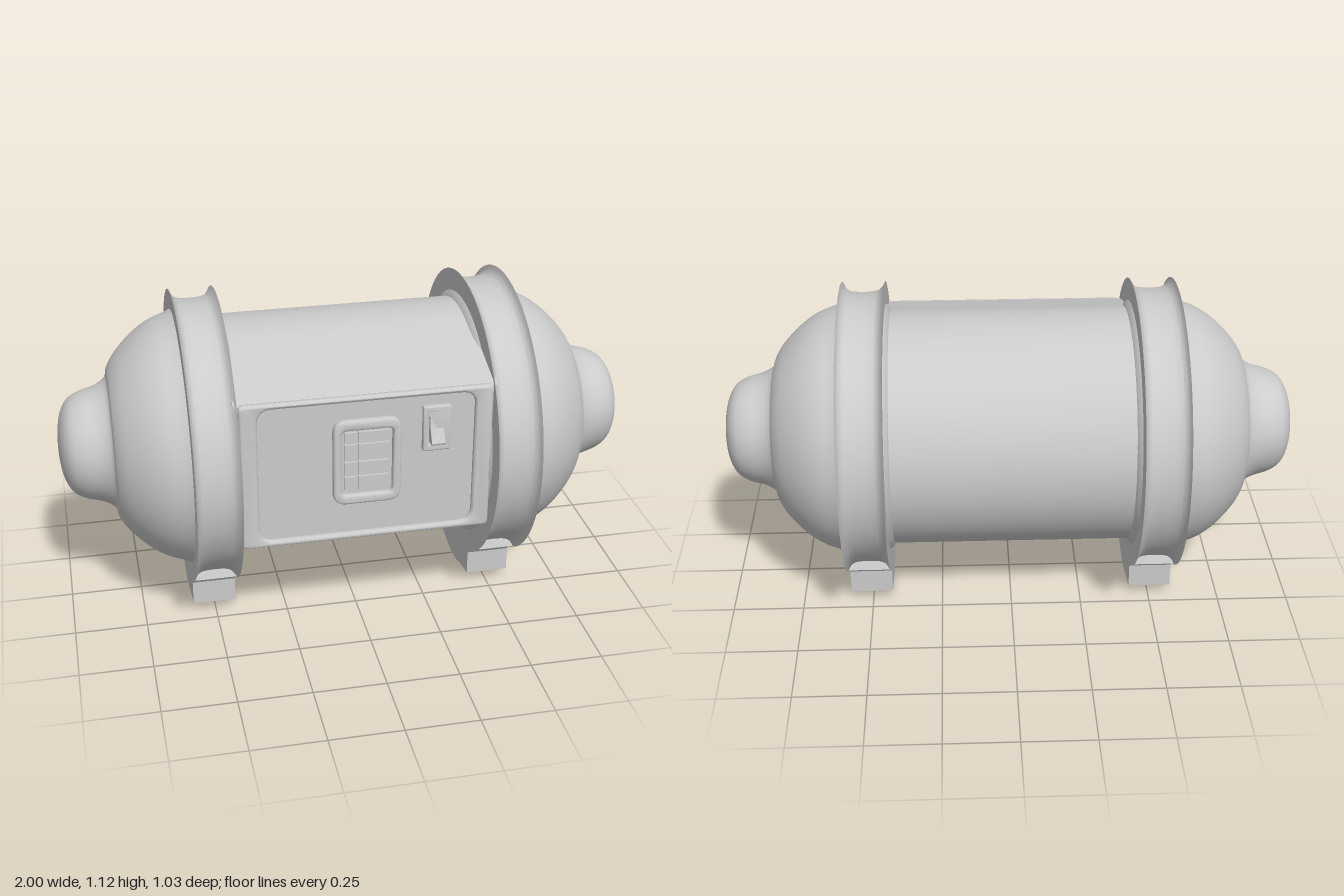
import * as THREE from 'three';
import { toCreasedNormals } from 'three/addons/utils/BufferGeometryUtils.js';

const AXIS = 0.61; // height of the capsule's long axis
const material = new THREE.MeshStandardMaterial({ color: 0xcccccc });
const v2 = (p) => new THREE.Vector2(p[0], p[1]);

function add(parent, name, geometry, x = 0, y = 0, z = 0) {
  const mesh = new THREE.Mesh(geometry, material);
  mesh.name = name;
  mesh.position.set(x, y, z);
  parent.add(mesh);
  return mesh;
}

// Turn a profile of [x, radius] pairs about the long axis
function turned(profile) {
  const points = profile.map(([x, r]) => new THREE.Vector2(r, x));
  const g = new THREE.LatheGeometry(points, 64).rotateZ(-Math.PI / 2);
  return g;
}

// Extrude a [z, y] outline along x, centred on x = 0
function alongX(outline, width) {
  const shape = new THREE.Shape(outline.map(([z, y]) => new THREE.Vector2(-z, y)));
  const g = new THREE.ExtrudeGeometry(shape, { depth: width, bevelEnabled: false });
  return toCreasedNormals(g.translate(0, 0, -width / 2).rotateY(Math.PI / 2), 0.5);
}

function roundedRect(path, x0, y0, x1, y1, r) {
  path.moveTo(x0 + r, y0);
  path.lineTo(x1 - r, y0);
  path.quadraticCurveTo(x1, y0, x1, y0 + r);
  path.lineTo(x1, y1 - r);
  path.quadraticCurveTo(x1, y1, x1 - r, y1);
  path.lineTo(x0 + r, y1);
  path.quadraticCurveTo(x0, y1, x0, y1 - r);
  path.lineTo(x0, y0 + r);
  path.quadraticCurveTo(x0, y0, x0 + r, y0);
  return path;
}

// Raised bezel: outer and hole are [x0, y0, x1, y1, radius]
function bezel(outer, hole, height, bevel) {
  const shape = roundedRect(new THREE.Shape(), ...outer);
  shape.holes.push(roundedRect(new THREE.Path(), ...hole));
  const g = new THREE.ExtrudeGeometry(shape, {
    depth: height - bevel, bevelThickness: bevel, bevelSize: bevel,
    bevelOffset: -bevel, bevelSegments: 3, curveSegments: 8,
  });
  return toCreasedNormals(g, 0.6);
}

// Cylinder whose front swells out to a flat vertical panel
function bodyOutline() {
  const r = 0.415, outline = [];
  for (let i = 0; i <= 56; i++) {
    const a = THREE.MathUtils.degToRad(70 + (231 * i) / 56);
    outline.push([Math.cos(a) * r, AXIS + Math.sin(a) * r]);
  }
  outline.push([0.395, 0.37], [0.41, 0.382], [0.41, 0.9], [0.398, 0.915]);
  return outline;
}

// Foot: bellied underside, straight sides and flared shoulders
function footOutline() {
  const half = new THREE.SplineCurve([[0, 0.004], [0.05, 0.009], [0.12, 0.026], [0.2, 0.038]].map(v2))
    .getPoints(12).map((p) => [p.x, p.y]);
  half.push([0.2, 0.125], [0.208, 0.137], [0.225, 0.15], [0.262, 0.172]);
  for (let i = 0; i <= 8; i++) {
    const a = 0.56 * (1 - i / 8);
    half.push([Math.sin(a) * 0.455, AXIS - Math.cos(a) * 0.455]);
  }
  const mirrored = half.slice(1, -1).reverse().map(([z, y]) => [-z, y]);
  return half.concat(mirrored);
}

function makeEnd() {
  const end = new THREE.Group();

  // Domed cap flowing into a rounded nub
  const cap = new THREE.SplineCurve([
    [0.575, 0.447], [0.6, 0.435], [0.66, 0.412], [0.72, 0.372], [0.78, 0.312], [0.812, 0.262],
    [0.822, 0.228], [0.86, 0.203], [0.92, 0.185], [0.96, 0.16], [0.985, 0.115], [0.997, 0.055], [1, 0],
  ].map(v2)).getPoints(60).map((p) => [p.x, Math.max(p.y, 0)]);
  cap[cap.length - 1][1] = 0;
  add(end, 'domedCap', turned(cap), 0, AXIS);

  // Grooved ring with two sharp lips
  const groove = new THREE.SplineCurve([
    [0.428, 0.514], [0.44, 0.494], [0.46, 0.481], [0.505, 0.477], [0.55, 0.481], [0.57, 0.494], [0.58, 0.514],
  ].map(v2)).getPoints(24).map((p) => [p.x, p.y]);
  const ring = [[0.41, 0.412], [0.416, 0.425], [0.428, 0.436], ...groove, [0.58, 0.45], [0.575, 0.43]];
  add(end, 'grooveRing', toCreasedNormals(turned(ring), 0.6), 0, AXIS);

  add(end, 'foot', alongX(footOutline(), 0.15), 0.504);
  return end;
}

export function createModel() {
  const model = new THREE.Group();
  model.name = 'capsule';

  add(model, 'body', alongX(bodyOutline(), 0.88));

  for (const side of [1, -1]) {
    const end = makeEnd();
    end.name = side > 0 ? 'leftEnd' : 'rightEnd';
    if (side < 0) end.rotation.y = Math.PI;
    model.add(end);
  }

  // Rim around the recessed front panel
  add(model, 'panelRim',
    bezel([-0.425, 0.378, 0.425, 0.908, 0.02], [-0.365, 0.4, 0.365, 0.89, 0.05], 0.02, 0.009), 0, 0, 0.408);

  // Keypad with two columns and four rows of keys
  const keypad = new THREE.Group();
  keypad.name = 'keypad';
  model.add(keypad);
  add(keypad, 'keypadFrame',
    bezel([-0.116, 0.514, 0.114, 0.824, 0.045], [-0.088, 0.548, 0.086, 0.788, 0.02], 0.022, 0.009), 0, 0, 0.41);
  const rows = [0.56, 0.615, 0.67, 0.735, 0.78];
  const columns = [-0.08, -0.033, 0.078];
  for (let r = 0; r < 4; r++) {
    for (let c = 0; c < 2; c++) {
      const w = columns[c + 1] - columns[c], h = rows[r + 1] - rows[r];
      add(keypad, 'key', new THREE.BoxGeometry(w - 0.007, h - 0.007, 0.014),
        columns[c] + w / 2, rows[r] + h / 2, 0.413);
    }
  }

  // Rocker switch, kicked out at the bottom
  const rocker = new THREE.Group();
  rocker.name = 'rockerSwitch';
  model.add(rocker);
  add(rocker, 'switchFrame',
    bezel([0.187, 0.688, 0.28, 0.85, 0.004], [0.207, 0.712, 0.26, 0.827, 0.003], 0.02, 0.004), 0, 0, 0.41);
  add(rocker, 'switchRocker', alongX(
    [[0.405, 0.718], [0.452, 0.718], [0.455, 0.726], [0.428, 0.775], [0.42, 0.822], [0.405, 0.822]], 0.046), 0.2335);

  return model;
}
